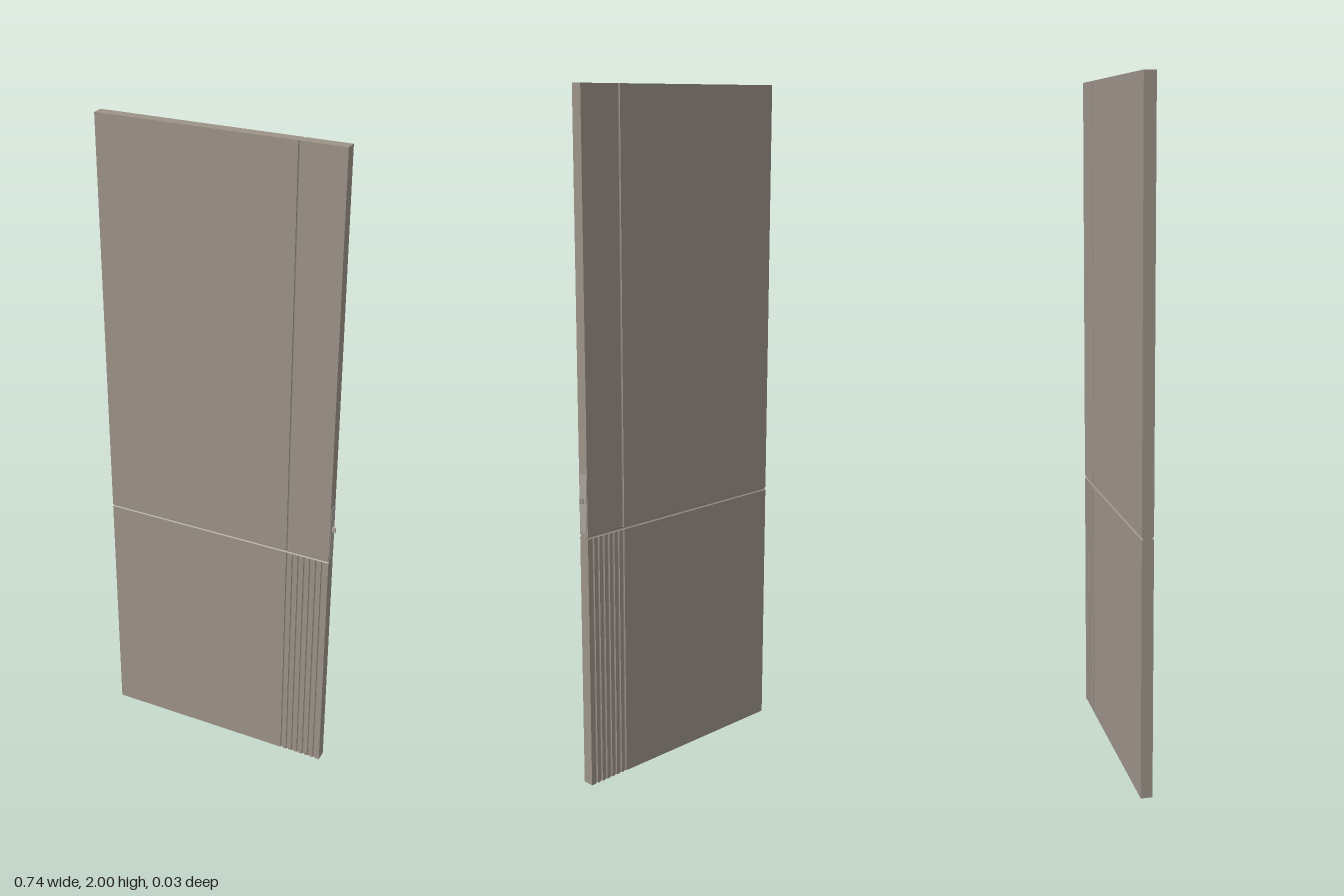
import * as THREE from 'three';

const LEFT = -0.369, RIGHT = 0.357;   // slab edges in x
const T = 0.0172;                     // half thickness
const R = 0.0042;                     // groove radius
const SEAM_Y = 0.765, TOP = 2;

// Horizontal section from a to b, with round grooves cut into both faces
function groovedSection(a, b, centres) {
  const s = new THREE.Shape();
  s.moveTo(a, -T);
  for (const c of centres) {
    s.lineTo(c - R, -T);
    s.absarc(c, -T, R, Math.PI, 0, true);
  }
  s.lineTo(b, -T);
  s.lineTo(b, T);
  for (const c of [...centres].reverse()) {
    s.lineTo(c + R, T);
    s.absarc(c, T, R, 0, Math.PI, true);
  }
  s.lineTo(a, T);
  s.closePath();
  return s;
}

export function createModel() {
  const group = new THREE.Group();
  const wood = new THREE.MeshStandardMaterial({ color: 0x9c9288 });
  const metal = new THREE.MeshStandardMaterial({ color: 0xa8a29a });

  const add = (name, geometry, material) => {
    const mesh = new THREE.Mesh(geometry, material);
    mesh.name = name;
    group.add(mesh);
    return mesh;
  };
  // Extrude an (x, z) section upward from y0 to y1
  const upright = (shape, y0, y1) =>
    new THREE.ExtrudeGeometry(shape, { depth: y1 - y0, bevelEnabled: false, curveSegments: 8 })
      .rotateX(-Math.PI / 2).translate(0, y0, 0);

  // Seven evenly spaced grooves below the seam, only the first one above it
  const grooves = Array.from({ length: 7 }, (_, i) => 0.2265 + i * 0.0187);
  add('lowerPanel', upright(groovedSection(LEFT, RIGHT, grooves), 0, SEAM_Y - R), wood);
  add('upperPanel', upright(groovedSection(LEFT, RIGHT, grooves.slice(0, 1)), SEAM_Y + R, TOP), wood);

  // Strip between the panels, hollowed to form the horizontal groove
  const seam = new THREE.Shape();
  seam.moveTo(-T, -R);
  seam.lineTo(T, -R);
  seam.absarc(T, 0, R, -Math.PI / 2, -Math.PI * 1.5, true);
  seam.lineTo(-T, R);
  seam.absarc(-T, 0, R, Math.PI / 2, -Math.PI / 2, true);
  add('seamGroove',
    new THREE.ExtrudeGeometry(seam, { depth: RIGHT - LEFT, bevelEnabled: false, curveSegments: 8 })
      .rotateY(Math.PI / 2).translate(LEFT, SEAM_Y, 0), wood);

  // Lock plate on the door edge
  add('lockPlate', new THREE.BoxGeometry(0.002, 0.172, 0.028), metal)
    .position.set(RIGHT + 0.0004, 0.861, 0);

  // Latch bolt with a sloped back face (shape y becomes -z)
  const bolt = new THREE.Shape([
    new THREE.Vector2(RIGHT, -0.004),
    new THREE.Vector2(0.369, -0.004),
    new THREE.Vector2(0.369, -0.001),
    new THREE.Vector2(0.361, 0.005),
    new THREE.Vector2(RIGHT, 0.005),
  ]);
  add('latchBolt', upright(bolt, 0.863, 0.879), metal);

  return group;
}
